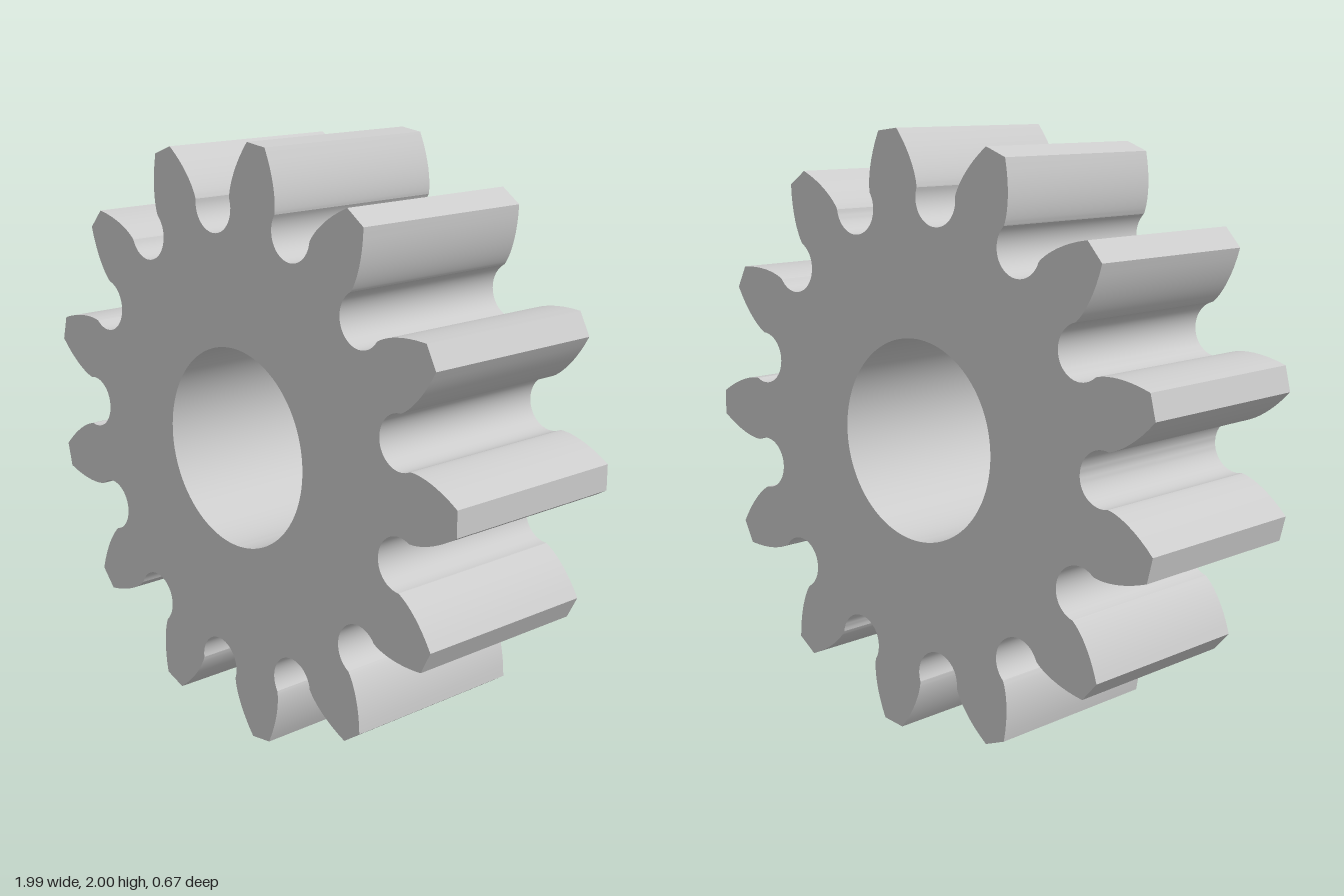
import * as THREE from 'three';
import { toCreasedNormals } from 'three/addons/utils/BufferGeometryUtils.js';

const TEETH = 13;
const TIP = 1.003;                          // tip radius
const PITCH = TIP * TEETH / (TEETH + 2);    // pitch radius
const BASE = PITCH * Math.cos(THREE.MathUtils.degToRad(20));
const ROOT = TIP * 0.7;
const BORE = 0.335;
const DEPTH = 0.667;

const involute = (a) => Math.tan(a) - a;

// Half the angle a tooth takes up at radius r
function halfAngle(r) {
  const atPitch = Math.PI / (2 * TEETH) + involute(Math.acos(BASE / PITCH));
  return atPitch - involute(Math.acos(Math.min(1, BASE / r)));
}

// One tooth and the round gap after it, as [radius, angle] pairs
function toothProfile() {
  const pts = [];
  const N = 12;
  const radius = (i) => BASE + (TIP - BASE) * (i / N) ** 2;
  for (let i = 0; i <= N; i++) pts.push([radius(i), -halfAngle(radius(i))]);
  for (let i = N; i >= 0; i--) pts.push([radius(i), halfAngle(radius(i))]);

  // Circular gap through both flank feet and the root
  const mid = Math.PI / TEETH;
  const a = mid - halfAngle(BASE);
  const fx = BASE * Math.cos(a), fy = BASE * Math.sin(a);
  const c = (fx * fx + fy * fy - ROOT * ROOT) / (2 * (fx - ROOT));
  const r = c - ROOT;
  const start = Math.atan2(-fy, fx - c);
  const sweep = 2 * Math.PI + 2 * start;
  const M = 32;
  for (let i = 1; i < M; i++) {
    const t = start - sweep * i / M;
    const x = c + r * Math.cos(t), y = r * Math.sin(t);
    pts.push([Math.hypot(x, y), mid + Math.atan2(y, x)]);
  }
  return pts;
}

export function createModel() {
  const group = new THREE.Group();
  group.name = 'spurGear';

  // Outline: the tooth profile repeated around the centre
  const profile = toothProfile();
  const outline = [];
  for (let k = 0; k < TEETH; k++) {
    const turn = k * 2 * Math.PI / TEETH;
    for (const [r, a] of profile) {
      outline.push(new THREE.Vector2(r * Math.cos(a + turn), r * Math.sin(a + turn)));
    }
  }
  const shape = new THREE.Shape(outline);

  // Shaft bore
  shape.holes.push(new THREE.Path().absarc(0, 0, BORE, 0, Math.PI * 2, true));

  const geometry = new THREE.ExtrudeGeometry(shape, {
    depth: DEPTH, bevelEnabled: false, curveSegments: 72,
  });
  geometry.translate(-0.01, 1, -DEPTH / 2);

  const gear = new THREE.Mesh(
    toCreasedNormals(geometry, 0.25),
    new THREE.MeshStandardMaterial({ color: 0xcccccc }),
  );
  gear.name = 'gearBody';
  group.add(gear);
  return group;
}
